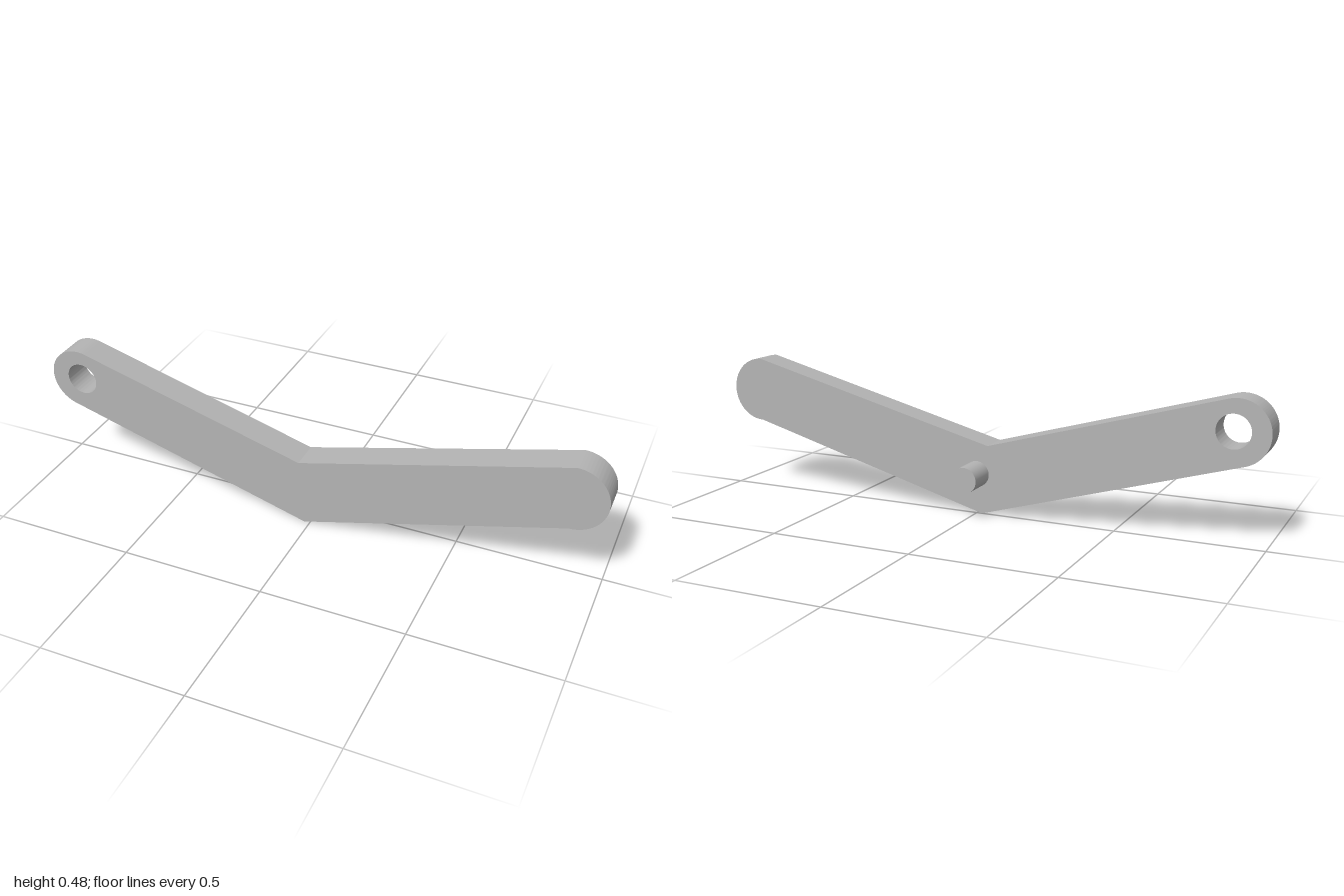
import * as THREE from 'three';
import { toCreasedNormals } from 'three/addons/utils/BufferGeometryUtils.js';

const THICKNESS = 0.105;

export function createModel() {
  const group = new THREE.Group();
  group.name = 'bentLever';
  const grey = new THREE.MeshStandardMaterial({ color: 0xb4b4b4 });
  grey.name = 'plain grey';

  const add = (name, geometry) => {
    const mesh = new THREE.Mesh(geometry, grey);
    mesh.name = name;
    group.add(mesh);
    return mesh;
  };

  // Bent arm outline: bottom corner, right rounded end, top bend, left rounded end
  const outline = new THREE.Shape();
  outline.moveTo(-0.02, 0);
  outline.lineTo(0.885, 0.25);
  outline.absarc(0.885, 0.365, 0.115, -Math.PI / 2, Math.PI / 2, false);
  outline.lineTo(-0.04, 0.242);
  outline.absarc(-0.89, 0.37, 0.11, 1.29, Math.PI * 1.5 - 0.288, false);
  outline.closePath();

  // Through hole in the left end
  const hole = new THREE.Path();
  hole.absarc(-0.88, 0.373, 0.057, 0, Math.PI * 2, true);
  outline.holes.push(hole);

  const arm = new THREE.ExtrudeGeometry(outline, {
    depth: THICKNESS, bevelEnabled: false, curveSegments: 48,
  });
  add('arm', toCreasedNormals(arm, 0.2));

  // Pivot pin on the back of the bend
  const pin = add('pivotPin', new THREE.CylinderGeometry(0.045, 0.045, THICKNESS, 48));
  pin.rotation.x = Math.PI / 2;
  pin.position.set(0, 0.14, -THICKNESS / 2);

  return group;
}
